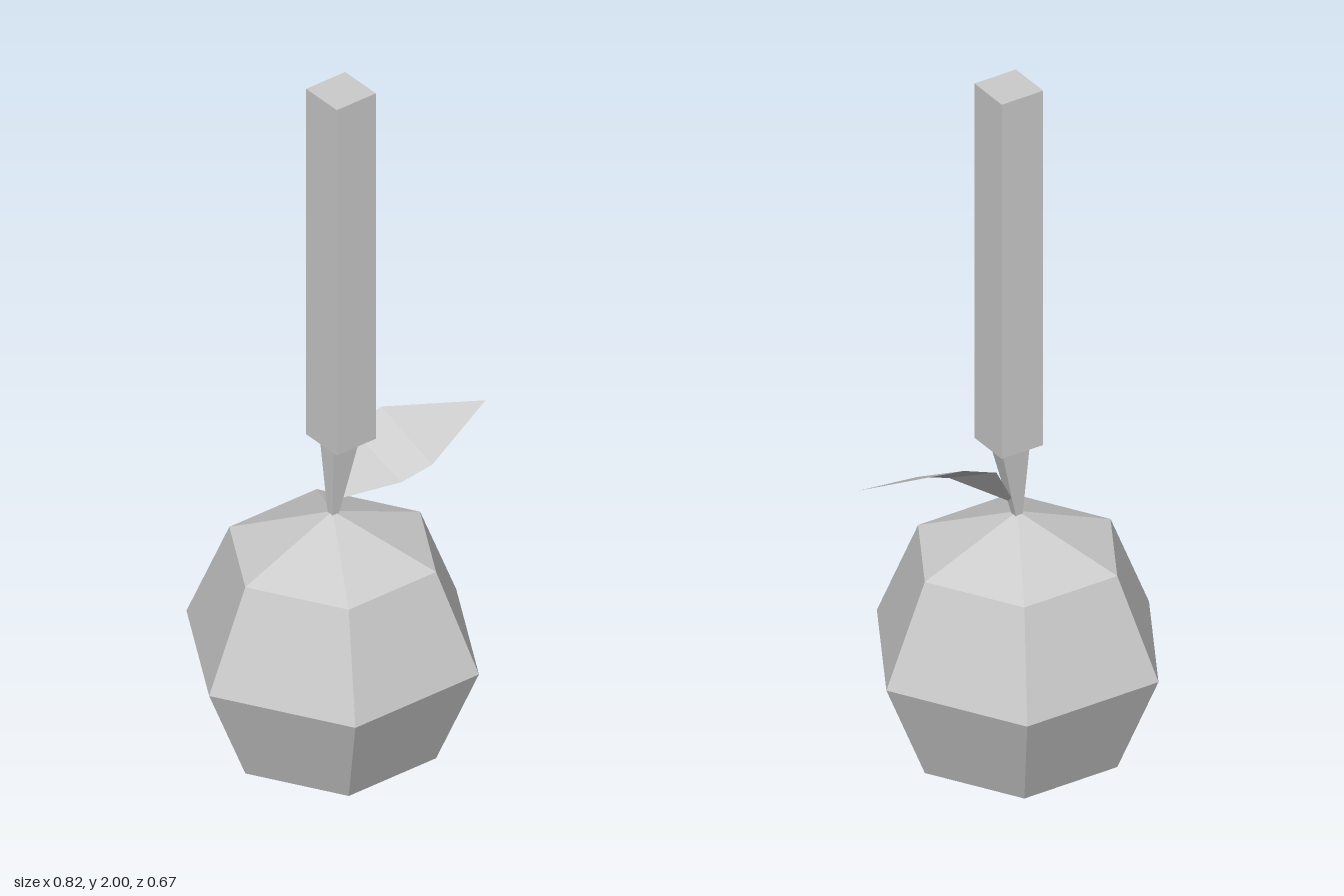
import * as THREE from 'three';

const grey = new THREE.MeshStandardMaterial({ color: 0xcccccc, flatShading: true, side: THREE.DoubleSide });
grey.name = 'light grey';

function part(name, geometry, x = 0, y = 0, z = 0) {
  const mesh = new THREE.Mesh(geometry, grey);
  mesh.name = name;
  mesh.position.set(x, y, z);
  return mesh;
}

// Square frustum leaning from its bottom centre to its top centre
function stemGeometry(height, bottomHalf, topHalfX, topHalfZ, lean) {
  const g = new THREE.BoxGeometry(2, height, 2);
  const p = g.attributes.position;
  for (let i = 0; i < p.count; i++) {
    const top = p.getY(i) > 0;
    p.setX(i, p.getX(i) * (top ? topHalfX : bottomHalf) + (top ? lean : 0));
    p.setZ(i, p.getZ(i) * (top ? topHalfZ : bottomHalf));
  }
  g.computeVertexNormals();
  return g;
}

// Folded leaf: cross-sections from base to tip, each a back and a front edge point
function leafGeometry() {
  const sections = [
    [[-0.01, 0.815, -0.006], [-0.004, 0.81, 0.008]],
    [[0.075, 0.95, -0.06], [0.105, 0.862, 0.106]],
    [[0.165, 0.98, -0.05], [0.19, 0.886, 0.12]],
    [[0.41, 0.952, 0.053], [0.41, 0.952, 0.053]],
  ];
  const index = [];
  for (let i = 0; i < sections.length - 1; i++) {
    const a = i * 2;
    index.push(a, a + 1, a + 2);
    if (i < sections.length - 2) index.push(a + 1, a + 3, a + 2);
  }
  const g = new THREE.BufferGeometry();
  g.setAttribute('position', new THREE.Float32BufferAttribute(sections.flat(2), 3));
  g.setIndex(index);
  const flat = g.toNonIndexed();
  flat.computeVertexNormals();
  return flat;
}

export function createModel() {
  const model = new THREE.Group();
  model.name = 'hangingFruit';
  // Faceted fruit
  model.add(part('fruit', new THREE.SphereGeometry(0.387, 6, 4), -0.027, 0.39, 0));
  // Tapered stem
  model.add(part('stem', stemGeometry(0.22, 0.01, 0.043, 0.028, 0.022), -0.025, 0.88, 0));
  // Square post above the stem
  model.add(part('post', new THREE.BoxGeometry(0.122, 1.015, 0.122), -0.001, 1.4925, 0));
  // Leaf growing from the stem
  model.add(part('leaf', leafGeometry()));
  return model;
}
